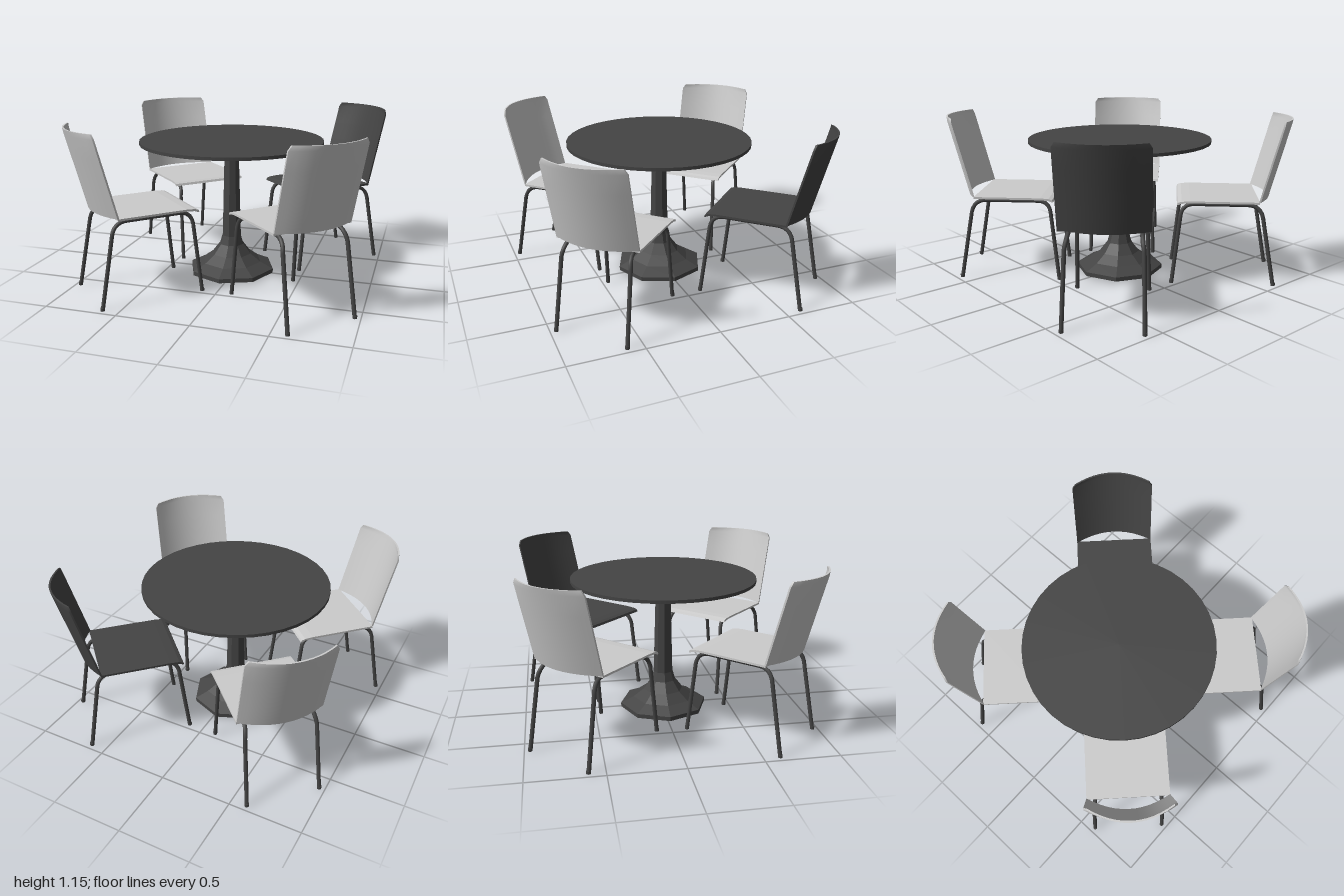
import * as THREE from 'three';

const light = new THREE.MeshStandardMaterial({ color: 0xcccccc });
const dark = new THREE.MeshStandardMaterial({ color: 0x444444 });
const darkFlat = new THREE.MeshStandardMaterial({ color: 0x444444, flatShading: true, side: THREE.DoubleSide });

const V = (x, y, z) => new THREE.Vector3(x, y, z);

function part(name, geometry, material, parent) {
  const mesh = new THREE.Mesh(geometry, material);
  mesh.name = name;
  parent.add(mesh);
  return mesh;
}

// Extrudes a (z, y) side profile across x, centred on x = 0
function sideExtrude(points, width) {
  const shape = new THREE.Shape(points.map(([z, y]) => new THREE.Vector2(z, y)));
  const geo = new THREE.ExtrudeGeometry(shape, { depth: width, bevelEnabled: false });
  geo.translate(0, 0, -width / 2);
  return geo.rotateY(-Math.PI / 2);
}

// Curved, leaning shell with clipped top corners
function backrestGeometry() {
  const rows = [0.605, 0.73, 0.86, 0.99, 1.12, 1.152];
  const geo = new THREE.BoxGeometry(2, rows.length - 1, 1, 12, rows.length - 1, 1);
  const p = geo.attributes.position;
  for (let i = 0; i < p.count; i++) {
    const u = p.getX(i);
    const row = Math.round(p.getY(i) + (rows.length - 1) / 2);
    const y = rows[row];
    const halfWidth = row === rows.length - 1 ? 0.262 : 0.283;
    const z = 0.988 + 0.26 * (y - 0.605) + 0.085 * (1 - u * u) + 0.012 * p.getZ(i);
    p.setXYZ(i, u * halfWidth, y, z);
  }
  geo.computeVertexNormals();
  return geo;
}

// Bent tube joining a front and a rear leg under the seat
function legGeometry(side) {
  const path = new THREE.CurvePath();
  const top = 0.572;
  const foot = 0.25 * side, knee = 0.237 * side, rail = 0.222 * side;
  const frontFoot = V(foot, 0, 0.4), frontKnee = V(knee, 0.49, 0.455);
  const frontRail = V(rail, top, 0.55), rearRail = V(rail, top, 0.91);
  const rearKnee = V(knee, 0.49, 1.02), rearFoot = V(foot, 0, 1.11);
  path.add(new THREE.LineCurve3(frontFoot, frontKnee));
  path.add(new THREE.QuadraticBezierCurve3(frontKnee, V(rail, top, 0.465), frontRail));
  path.add(new THREE.LineCurve3(frontRail, rearRail));
  path.add(new THREE.QuadraticBezierCurve3(rearRail, V(rail, top, 1.0), rearKnee));
  path.add(new THREE.LineCurve3(rearKnee, rearFoot));
  return new THREE.TubeGeometry(path, 60, 0.014, 8);
}

// Flat disc closing the end of a leg
function addFeet(side, chair) {
  for (const z of [0.4, 1.11]) {
    const foot = part('foot', new THREE.CylinderGeometry(0.015, 0.015, 0.02, 8), dark, chair);
    foot.position.set(0.25 * side, 0.01, z);
  }
}

// Chair whose back points to local +z, away from the table
function makeChair(shell) {
  const chair = new THREE.Group();
  chair.name = 'chair';
  const seatProfile = [
    [0.99, 0.592], [0.99, 0.606], [0.52, 0.606], [0.46, 0.602], [0.435, 0.594],
    [0.428, 0.578], [0.438, 0.578], [0.462, 0.588], [0.52, 0.592],
  ];
  part('seat', sideExtrude(seatProfile, 0.568), shell, chair);
  part('backrest', backrestGeometry(), shell, chair);
  for (const side of [-1, 1]) {
    part('legFrame', legGeometry(side), dark, chair);
    addFeet(side, chair);
  }
  return chair;
}

function makeTable() {
  const table = new THREE.Group();
  table.name = 'table';
  const top = part('tableTop', new THREE.CylinderGeometry(0.655, 0.655, 0.022, 40), dark, table);
  top.position.y = 0.977;

  // Eight-sided flared pedestal, hollow underneath
  const profile = [
    [0.315, 0.008], [0.315, 0.038], [0.22, 0.082], [0.145, 0.138],
    [0.09, 0.21], [0.07, 0.275], [0.052, 0.95],
  ].map(([r, y]) => new THREE.Vector2(r, y));
  part('pedestal', new THREE.LatheGeometry(profile, 8), darkFlat, table);

  // Four tapered arms with end pads under the top
  for (let i = 0; i < 4; i++) {
    const arm = new THREE.Group();
    arm.name = 'supportArm';
    arm.rotation.y = i * Math.PI / 2;
    part('armBeam', sideExtrude([[0, 0.908], [0.43, 0.95], [0.43, 0.966], [0, 0.966]], 0.07), dark, arm);
    const pad = part('armPad', new THREE.BoxGeometry(0.1, 0.016, 0.08), dark, arm);
    pad.position.set(0, 0.96, 0.37);
    table.add(arm);
  }
  table.position.set(-0.028, 0, 0.012);
  return table;
}

export function createModel() {
  const model = new THREE.Group();
  model.name = 'diningSet';
  model.add(makeTable());
  // Four chairs on the diagonals, one of them dark
  for (let i = 0; i < 4; i++) {
    const chair = makeChair(i === 1 ? dark : light);
    chair.rotation.y = Math.PI / 4 + i * Math.PI / 2;
    model.add(chair);
  }
  return model;
}
